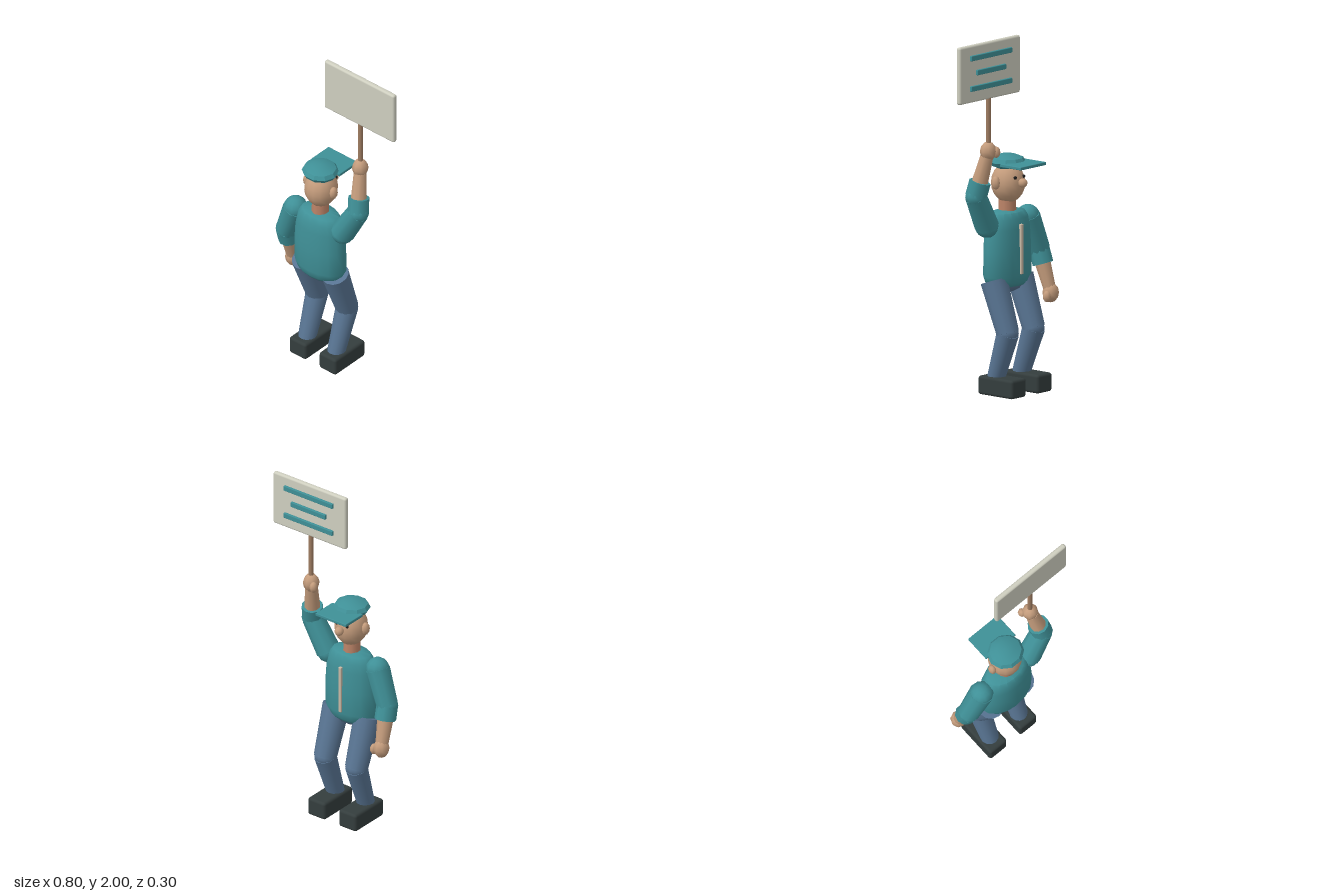
import * as THREE from 'three';
import { toCreasedNormals } from 'three/addons/utils/BufferGeometryUtils.js';
import { RoundedBoxGeometry } from 'three/addons/geometries/RoundedBoxGeometry.js';

const mat = (name, color) => {
  const m = new THREE.MeshStandardMaterial({ color });
  m.name = name;
  return m;
};

export function createModel() {
  const teal = mat('teal cloth', 0x3f9097);
  const denim = mat('blue denim', 0x587492);
  const leather = mat('dark leather', 0x343d3d);
  const skin = mat('skin', 0xc49c7c);
  const neckSkin = mat('neck skin', 0xbd8468);
  const board = mat('pale board', 0xcfcfc0);
  const wood = mat('wood', 0xa07d62);
  const trim = mat('beige trim', 0xc9b8a4);
  const black = mat('eye black', 0x1c1c1c);

  const model = new THREE.Group();
  model.name = 'signHolder';
  // The figure faces -z, turned slightly
  const figure = new THREE.Group();
  figure.name = 'figure';
  figure.rotation.y = -0.1;
  model.add(figure);

  const add = (name, geometry, material, pos = [0, 0, 0]) => {
    const mesh = new THREE.Mesh(geometry, material);
    mesh.name = name;
    mesh.position.set(...pos);
    figure.add(mesh);
    return mesh;
  };
  const ball = (name, pos, r, material, ws = 10, hs = 8) =>
    add(name, new THREE.SphereGeometry(1, ws, hs).scale(...r), material, pos);
  const box = (name, pos, size, radius, material) =>
    add(name, new RoundedBoxGeometry(...size, 2, radius), material, pos);
  // Tapered tube from a (radius ra) to b (radius rb)
  const limb = (name, a, b, ra, rb, material, sides = 10) => {
    const va = new THREE.Vector3(...a), vb = new THREE.Vector3(...b);
    const dir = vb.clone().sub(va);
    const mesh = add(name, new THREE.CylinderGeometry(rb, ra, dir.length(), sides), material);
    mesh.position.copy(va).add(vb).multiplyScalar(0.5);
    mesh.quaternion.setFromUnitVectors(new THREE.Vector3(0, 1, 0), dir.normalize());
    return mesh;
  };
  const mix = (a, b, t) => a.map((v, i) => v + (b[i] - v) * t);

  const cx = -0.084, cz = 0.056;

  // Shirt body: oval lathe with soft shoulders
  const profile = [[0, 0.595], [0.125, 0.6], [0.15, 0.62], [0.167, 0.66], [0.166, 0.8], [0.158, 0.92],
    [0.145, 0.975], [0.12, 1.01], [0.06, 1.02], [0, 1.02]].map(p => new THREE.Vector2(...p));
  const shirt = new THREE.LatheGeometry(profile, 16).scale(1, 1, 0.61);
  add('shirt', toCreasedNormals(shirt, 0.9), teal, [cx, 0, cz]);
  box('shirtPlacket', [cx, 0.81, -0.046], [0.02, 0.28, 0.018], 0.004, trim);
  ball('pelvis', [cx, 0.63, cz], [0.13, 0.07, 0.085], denim);

  // Legs and shoes
  for (const [side, s] of [['left', 1], ['right', -1]]) {
    const hip = [cx + s * 0.108, 0.635, 0.058];
    const knee = [cx + s * 0.108, 0.355, -0.042];
    const ankle = [cx + s * 0.105, 0.09, 0.048];
    limb(side + 'Thigh', hip, knee, 0.077, 0.064, denim, 12);
    ball(side + 'Knee', knee, [0.063, 0.055, 0.06], denim, 12);
    limb(side + 'Shin', knee, ankle, 0.063, 0.05, denim, 12);
    box(side + 'Shoe', [cx + s * 0.108, 0.055, 0], [0.122, 0.105, 0.252], 0.016, leather);
  }

  // Arms: rolled sleeve over a bare forearm, then a fist with a thumb
  const arm = (side, shoulder, elbow, hand, thumb) => {
    const cuff = mix(elbow, hand, 0.33);
    ball(side + 'Shoulder', shoulder, [0.068, 0.066, 0.066], teal);
    limb(side + 'UpperSleeve', shoulder, elbow, 0.069, 0.061, teal);
    ball(side + 'Elbow', elbow, [0.061, 0.06, 0.06], teal);
    limb(side + 'LowerSleeve', elbow, cuff, 0.06, 0.06, teal);
    limb(side + 'Forearm', elbow, mix(elbow, hand, 0.88), 0.05, 0.036, skin);
    ball(side + 'Hand', hand, [0.046, 0.055, 0.046], skin, 8, 6);
    ball(side + 'Thumb', thumb, [0.022, 0.032, 0.024], skin, 8, 6);
  };
  arm('left', [0.082, 0.95, 0.06], [0.184, 1.13, 0.05], [0.149, 1.385, -0.008], [0.112, 1.378, -0.034]);
  arm('right', [cx - 0.176, 0.955, 0.06], [-0.338, 0.76, 0.045], [-0.352, 0.525, -0.026], [-0.309, 0.51, -0.036]);

  // Head and face
  limb('neck', [cx, 0.99, cz], [cx, 1.1, cz], 0.05, 0.048, neckSkin);
  ball('head', [cx, 1.17, 0.05], [0.092, 0.112, 0.096], skin, 14, 10);
  ball('nose', [cx, 1.18, -0.057], [0.025, 0.026, 0.027], skin);
  for (const s of [-1, 1]) {
    ball('ear', [cx + s * 0.095, 1.18, cz], [0.022, 0.038, 0.026], skin, 8, 6);
    ball('eye', [cx + s * 0.035, 1.21, -0.032], [0.01, 0.01, 0.009], black, 8, 6);
  }

  // Cap
  const crown = new THREE.SphereGeometry(1, 10, 6).scale(0.105, 0.043, 0.1);
  add('capCrown', toCreasedNormals(crown, 0.5), teal, [cx, 1.288, cz]);
  box('capBrim', [cx, 1.283, -0.058], [0.212, 0.018, 0.152], 0.004, teal);

  // Placard on a pole, with bars on the forward face
  limb('pole', [0.149, 1.37, -0.01], [0.149, 1.72, -0.01], 0.014, 0.014, wood);
  box('placard', [0.15, 1.84, -0.01], [0.505, 0.32, 0.03], 0.012, board);
  [[1.93, 0.34], [1.845, 0.24], [1.76, 0.34]].forEach(([y, w]) =>
    box('placardBar', [0.15, y, -0.03], [w, 0.03, 0.016], 0.004, teal));

  return model;
}
